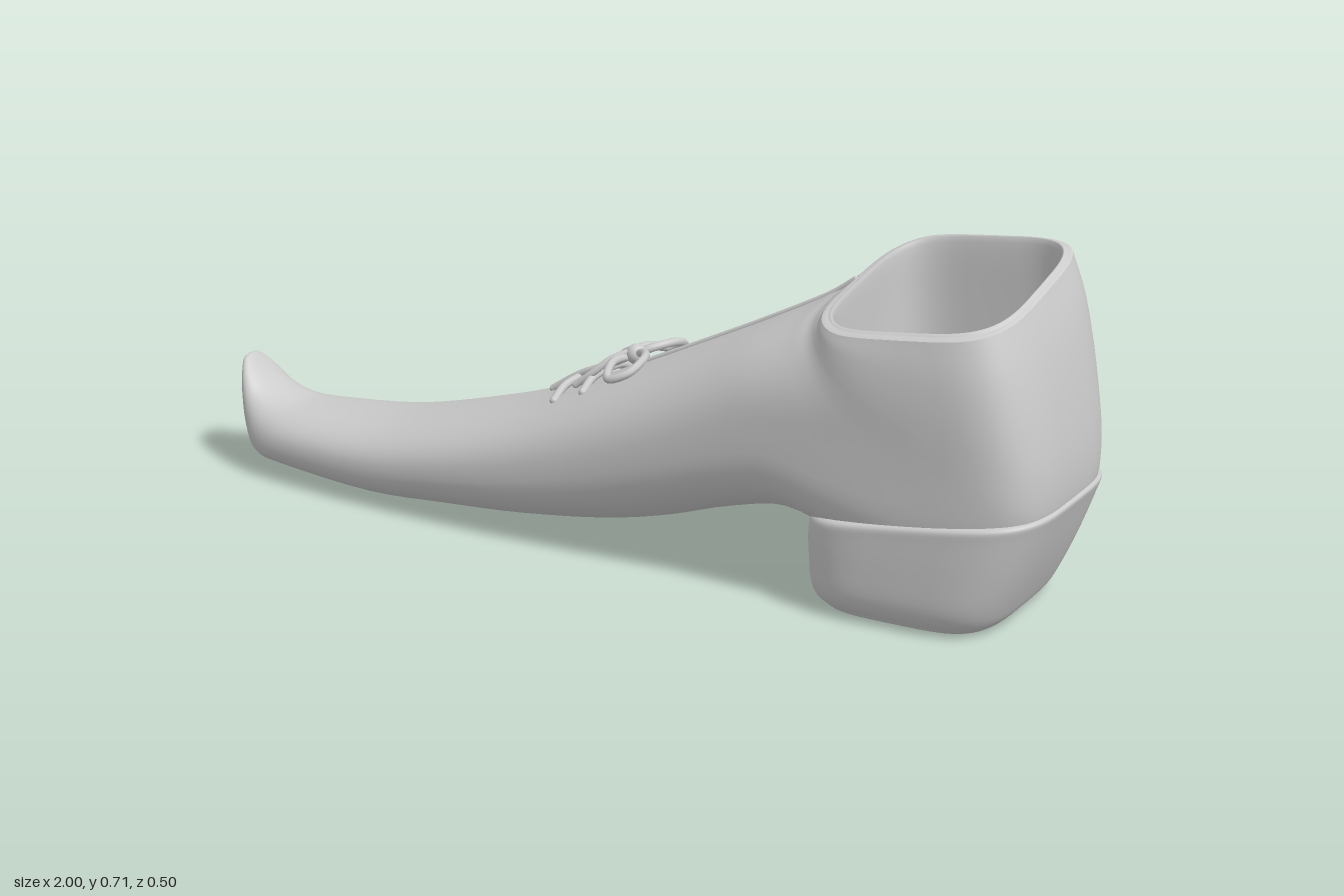
import * as THREE from 'three';

const SIDES = 64;
const material = new THREE.MeshStandardMaterial({ color: 0xcccccc, side: THREE.DoubleSide });

// Section rows: lower/back point x, y, upper/front point x, y, half width, squareness
const UPPER = [
  [-0.995, 0.25, -0.994, 0.251, 0.002, 2],
  [-1.0, 0.235, -0.982, 0.25, 0.03, 2],
  [-0.985, 0.17, -0.955, 0.222, 0.065, 2.2],
  [-0.965, 0.08, -0.92, 0.193, 0.09, 2.2],
  [-0.935, 0.03, -0.87, 0.173, 0.11, 2.2],
  [-0.85, 0.02, -0.8, 0.165, 0.132, 2.3],
  [-0.6, 0.005, -0.6, 0.18, 0.165, 2.3],
  [-0.4, 0.015, -0.4, 0.225, 0.185, 2.3],
  [-0.2, 0.03, -0.2, 0.285, 0.2, 2.4],
  [0, 0.055, 0, 0.37, 0.212, 2.4],
  [0.15, 0.09, 0.15, 0.44, 0.222, 2.4],
  [0.3, 0.14, 0.28, 0.502, 0.23, 2.6],
  [0.45, 0.17, 0.37, 0.547, 0.237, 2.9],
  [0.62, 0.13, 0.43, 0.578, 0.241, 3.4],
  [0.8, 0.1, 0.46, 0.595, 0.243, 3.8],
  [0.92, 0.13, 0.48, 0.605, 0.244, 4],
  [0.985, 0.22, 0.49, 0.612, 0.245, 4],
  [0.997, 0.32, 0.497, 0.618, 0.245, 4],
  [0.982, 0.45, 0.503, 0.622, 0.243, 4],
  [0.955, 0.58, 0.507, 0.626, 0.238, 4],
  [0.925, 0.67, 0.51, 0.63, 0.229, 4],
];
const LINING = [
  [0.925, 0.67, 0.51, 0.63, 0.229, 4],
  [0.917, 0.673, 0.52, 0.633, 0.218, 4],
  [0.907, 0.665, 0.53, 0.625, 0.207, 4],
  [0.925, 0.52, 0.53, 0.5, 0.208, 4],
  [0.94, 0.37, 0.535, 0.36, 0.2, 3.6],
  [0.89, 0.27, 0.59, 0.27, 0.15, 3],
  [0.74, 0.24, 0.73, 0.24, 0.005, 2],
];
const HEEL = [
  [0.715, 0.003, 0.71, 0.003, 0.003, 4],
  [0.86, 0.004, 0.555, 0.004, 0.18, 4],
  [0.9, 0.018, 0.513, 0.018, 0.213, 4],
  [0.925, 0.06, 0.496, 0.05, 0.235, 4],
  [0.96, 0.14, 0.49, 0.11, 0.243, 4],
  [0.993, 0.23, 0.488, 0.16, 0.247, 4],
  [1.0, 0.258, 0.496, 0.192, 0.247, 4],
  [0.975, 0.262, 0.52, 0.2, 0.23, 4],
];

// Smooth in-between rows
function refine(rows, steps) {
  const out = [];
  const last = rows.length - 1;
  for (let i = 0; i < last; i++) {
    const a = rows[Math.max(i - 1, 0)], b = rows[i], c = rows[i + 1], d = rows[Math.min(i + 2, last)];
    for (let s = 0; s < steps; s++) {
      const t = s / steps;
      out.push(b.map((v, k) => v + 0.5 * t * (c[k] - a[k] +
        t * (2 * a[k] - 5 * v + 4 * c[k] - d[k] + t * (3 * (v - c[k]) + d[k] - a[k])))));
    }
  }
  out.push(rows[last]);
  return out;
}

// The collar is lower on +z than on -z
function slant(x, y, z) {
  const f = THREE.MathUtils.smoothstep(y, 0.3, 0.62) * THREE.MathUtils.smoothstep(x, 0.3, 0.6);
  return [x, y - 0.22 * z * f, z + 0.012 * f];
}

// Skin a run of superellipse sections
function loft(name, rows, steps) {
  const fine = refine(rows, steps);
  const position = [], index = [];
  fine.forEach(([bx, by, tx, ty, w, n], i) => {
    for (let j = 0; j < SIDES; j++) {
      const a = (j / SIDES) * Math.PI * 2;
      const c = Math.cos(a), s = Math.sin(a);
      const u = Math.sign(c) * Math.abs(c) ** (2 / n);
      const v = Math.sign(s) * Math.abs(s) ** (2 / n);
      position.push(...slant((bx + tx) / 2 + u * (tx - bx) / 2, (by + ty) / 2 + u * (ty - by) / 2, v * w));
      if (i === fine.length - 1) continue;
      const p = i * SIDES + j, q = i * SIDES + (j + 1) % SIDES;
      index.push(p, q, p + SIDES, q, q + SIDES, p + SIDES);
    }
  });
  const geometry = new THREE.BufferGeometry();
  geometry.setAttribute('position', new THREE.Float32BufferAttribute(position, 3));
  geometry.setIndex(index);
  geometry.computeVertexNormals();
  const mesh = new THREE.Mesh(geometry, material);
  mesh.name = name;
  return mesh;
}

// Height of the instep at x, z
function instepY(x, z) {
  let i = 0;
  while (i < UPPER.length - 2 && UPPER[i + 1][2] < x) i++;
  const a = UPPER[i], b = UPPER[i + 1];
  const t = (x - a[2]) / (b[2] - a[2]);
  const [, by, , ty, w, n] = a.map((v, k) => v + (b[k] - v) * t);
  const u = (1 - Math.min(1, Math.abs(z / w)) ** n) ** (1 / n);
  return (by + ty) / 2 + u * (ty - by) / 2;
}

// Cord lying on the instep through [x, z, lift] points
function cord(name, points, radius, closed = false) {
  const curve = new THREE.CatmullRomCurve3(
    points.map(([x, z, lift]) => new THREE.Vector3(x, instepY(x, z) + lift, z)), closed);
  const group = new THREE.Group();
  group.name = name;
  group.add(new THREE.Mesh(new THREE.TubeGeometry(curve, 40, radius, 8, closed), material));
  if (!closed) {
    for (const t of [0, 1]) {
      const end = new THREE.Mesh(new THREE.SphereGeometry(radius, 8, 6), material);
      end.position.copy(curve.getPoint(t));
      group.add(end);
    }
  }
  return group;
}

export function createModel() {
  const shoe = new THREE.Group();
  shoe.name = 'shoe';
  shoe.add(loft('upper', UPPER, 4), loft('lining', LINING, 4), loft('heel', HEEL, 4));

  // Centre seam running up to the collar
  const seam = [];
  for (let i = 0; i <= 10; i++) seam.push([0.04 + i * 0.047, -0.008, 0.001]);
  shoe.add(cord('frontSeam', seam, 0.006));

  // Laces: cross bars, a lengthwise strand and a bow
  const laces = new THREE.Group();
  laces.name = 'laces';
  for (const x of [-0.13, -0.06]) {
    laces.add(cord('crossLace', [[x, -0.11, 0], [x + 0.004, -0.05, 0.01], [x, 0, 0.012], [x - 0.004, 0.05, 0.01], [x, 0.1, 0]], 0.009));
  }
  laces.add(cord('lengthLace', [[-0.195, -0.005, 0.004], [-0.13, -0.008, 0.018], [-0.06, -0.004, 0.02], [0, 0, 0.025]], 0.008));
  for (const side of [-1, 1]) {
    laces.add(cord('bowLoop', [[0, side * 0.005, 0.025], [-0.005, side * 0.07, 0.035], [0.02, side * 0.13, 0.025],
      [0.06, side * 0.12, 0.018], [0.07, side * 0.07, 0.02], [0.04, side * 0.02, 0.025]], 0.009, true));
    laces.add(cord('laceEnd', [[0.01, 0, 0.035], [-0.03, side * 0.03, 0.035], [-0.06, side * 0.05, 0.022], [-0.1, side * 0.06, 0.008]], 0.008));
  }
  const knot = new THREE.Mesh(new THREE.SphereGeometry(0.022, 16, 12), material);
  knot.name = 'knot';
  knot.position.set(0.012, instepY(0.012, 0) + 0.025, 0);
  laces.add(knot);
  shoe.add(laces);
  return shoe;
}
